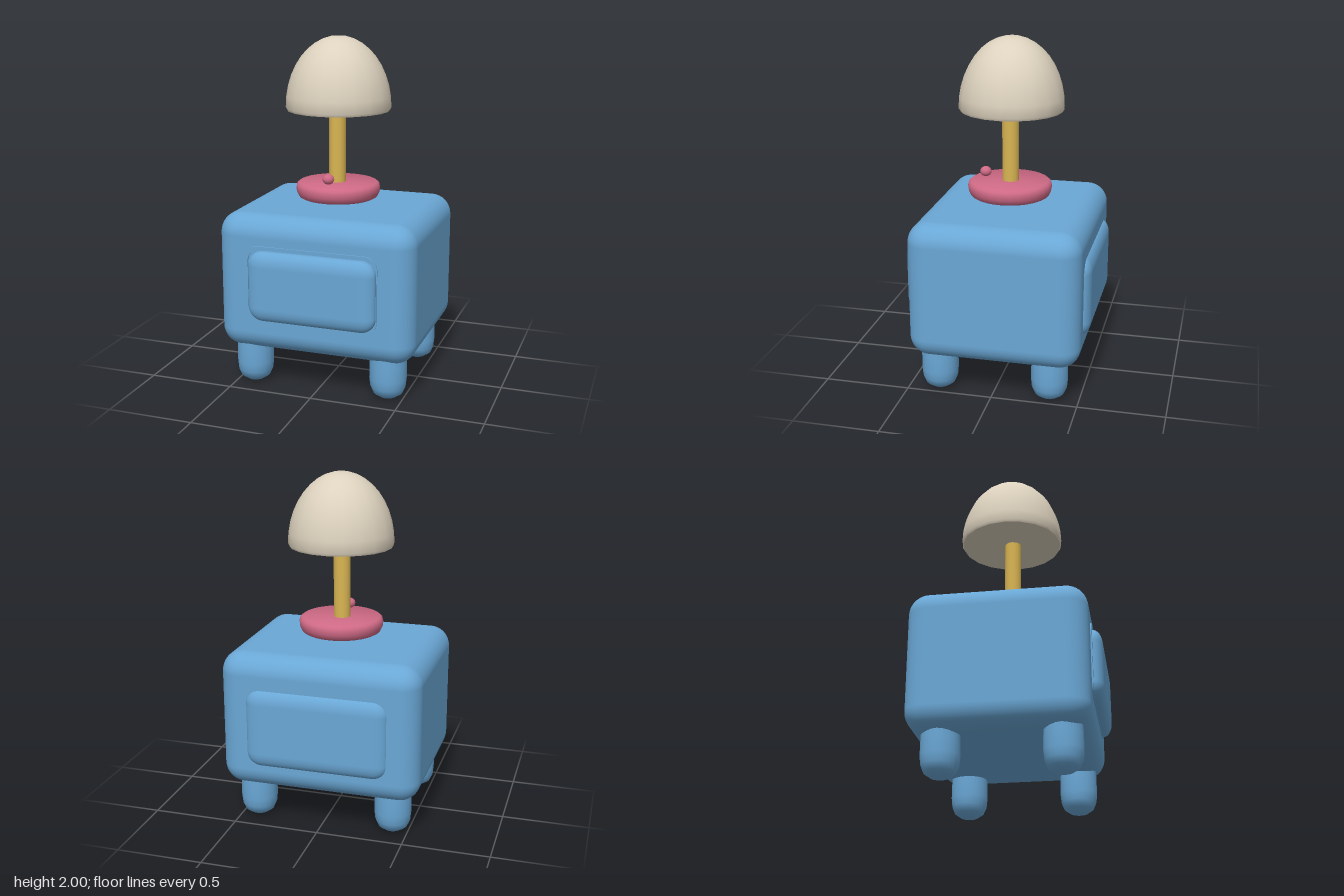
import * as THREE from 'three';
import { RoundedBoxGeometry } from 'three/addons/geometries/RoundedBoxGeometry.js';
import { toCreasedNormals } from 'three/addons/utils/BufferGeometryUtils.js';

const material = (name, color) => {
  const m = new THREE.MeshStandardMaterial({ color });
  m.name = name;
  return m;
};

export function createModel() {
  const blue = material('blue paint', 0x6aa7d5);
  const pink = material('pink', 0xcf6a86);
  const brass = material('brass yellow', 0xd9b553);
  const cream = material('cream', 0xddd2be);

  const model = new THREE.Group();
  model.name = 'nightstandWithLamp';
  const add = (name, geometry, mat, x, y, z, parent = model) => {
    const mesh = new THREE.Mesh(geometry, mat);
    mesh.name = name;
    mesh.position.set(x, y, z);
    parent.add(mesh);
    return mesh;
  };
  const lathe = (points, sides) => toCreasedNormals(
    new THREE.LatheGeometry(points.map(([r, y]) => new THREE.Vector2(r, y)), sides), 0.75);

  // Cabinet
  const stand = new THREE.Group();
  stand.name = 'nightstand';
  model.add(stand);
  add('cabinet', new RoundedBoxGeometry(1.16, 0.8, 0.99, 5, 0.12), blue, 0, 0.63, -0.015, stand);

  // Pillowy panels, with softer rounding across their faces than in depth
  const panel = (w, h, d) => new RoundedBoxGeometry(w, h, d / 0.6, 5, 0.085).scale(1, 1, 0.6);
  add('drawerFront', panel(0.75, 0.41, 0.2), blue, 0.005, 0.635, 0.44, stand);
  add('backPanel', panel(0.82, 0.46, 0.2), blue, 0, 0.61, -0.445, stand);

  // Thin lip around the drawer opening
  const rounded = (P, x0, y0, x1, y1, r) => {
    const p = new P();
    p.absarc(x1 - r, y1 - r, r, 0, Math.PI / 2);
    p.absarc(x0 + r, y1 - r, r, Math.PI / 2, Math.PI);
    p.absarc(x0 + r, y0 + r, r, Math.PI, Math.PI * 1.5);
    p.absarc(x1 - r, y0 + r, r, Math.PI * 1.5, Math.PI * 2);
    p.closePath();
    return p;
  };
  const lip = rounded(THREE.Shape, -0.395, 0.425, 0.385, 0.865, 0.07);
  lip.holes.push(rounded(THREE.Path, -0.375, 0.435, 0.38, 0.85, 0.075));
  add('drawerLip', new THREE.ExtrudeGeometry(lip, { depth: 0.018, bevelEnabled: false, curveSegments: 5 }),
    blue, 0, 0, 0.47, stand);

  // Four stubby rounded legs
  const legGeometry = lathe([[0, 0], [0.05, 0.006], [0.085, 0.03], [0.102, 0.07], [0.107, 0.12],
    [0.106, 0.2], [0.104, 0.28], [0, 0.28]], 20);
  for (const x of [-0.408, 0.408]) {
    for (const z of [-0.325, 0.325]) add('leg', legGeometry, blue, x, 0, z, stand);
  }

  // Lamp
  const lamp = new THREE.Group();
  lamp.name = 'lamp';
  model.add(lamp);
  add('lampBase', lathe([[0, 0], [0.215, 0], [0.23, 0.008], [0.243, 0.035], [0.246, 0.06],
    [0.241, 0.08], [0.228, 0.09], [0, 0.09]], 28), pink, -0.003, 1.07, 0.002, lamp);
  add('lampKnob', new THREE.SphereGeometry(0.034, 14, 10).scale(1, 0.88, 1), pink, -0.012, 1.2, 0.15, lamp);
  add('lampPole', new THREE.CylinderGeometry(0.049, 0.049, 0.46, 16), brass, -0.008, 1.37, 0, lamp);

  // Domed shade with a closed underside
  const dome = [[0, 0], [0.297, 0], [0.305, 0.015]];
  for (let i = 1; i <= 9; i++) {
    const a = (i / 9) * 1.42;
    dome.push([0.305 * Math.cos(a), 0.015 + 0.409 * Math.sin(a)]);
  }
  dome.push([0, 0.42]);
  add('lampShade', lathe(dome, 20), cream, -0.005, 1.58, -0.008, lamp);

  return model;
}
